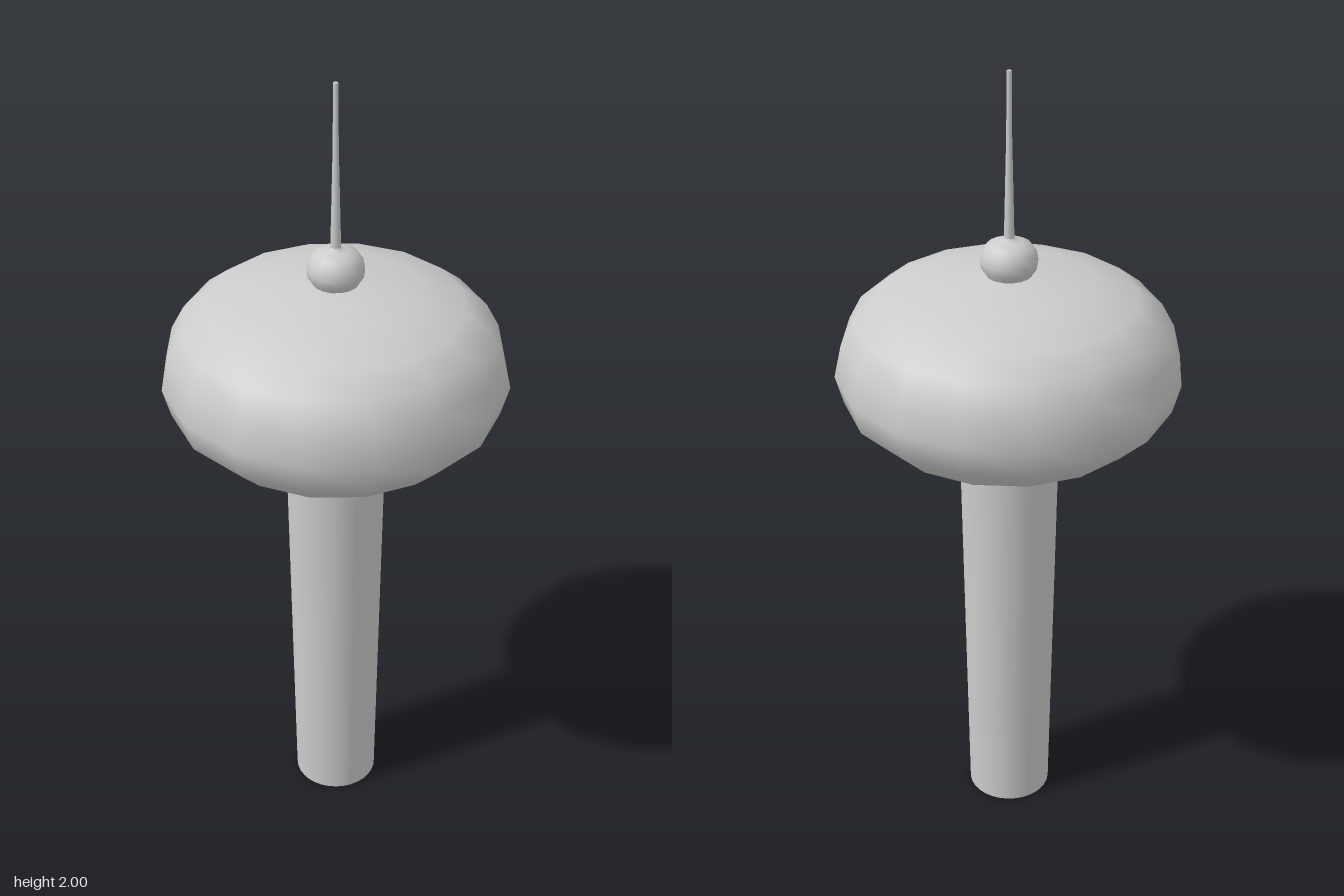
import * as THREE from 'three';

const material = new THREE.MeshStandardMaterial({ color: 0xcccccc, side: THREE.DoubleSide });

// Smooth round part turned from [radius, height] pairs, listed bottom to top
function turned(name, profile, sides = 16) {
  const points = profile.map(([r, y]) => new THREE.Vector2(r, y));
  // start on +z so corners fall on the axes
  const mesh = new THREE.Mesh(new THREE.LatheGeometry(points, sides), material);
  mesh.name = name;
  return mesh;
}

export function createModel() {
  const tower = new THREE.Group();
  tower.name = 'tower';

  // Hollow shaft, open at the foot and slightly wider at the top
  tower.add(turned('shaft', [[0.107, 0], [0.123, 1.07]], 32));

  // Flattened round pod
  tower.add(turned('pod', [
    [0, 1.05], [0.12, 1.053], [0.22, 1.075], [0.325, 1.125], [0.4, 1.197],
    [0.42, 1.27], [0.402, 1.35], [0.37, 1.41], [0.31, 1.457], [0.2, 1.493],
    [0.06, 1.512], [0, 1.513],
  ]));

  // Small flattened ball that narrows to the mast foot
  tower.add(turned('cap', [
    [0.052, 1.505], [0.056, 1.515], [0.066, 1.53], [0.069, 1.547],
    [0.065, 1.568], [0.052, 1.587], [0.032, 1.596], [0.016, 1.598], [0.012, 1.605],
  ]));

  // Tapering mast
  tower.add(turned('mast', [[0.013, 1.59], [0.007, 1.85], [0.006, 2]], 8));

  // Mast tip
  const tip = new THREE.Mesh(new THREE.CircleGeometry(0.006, 8), material);
  tip.name = 'mastTip';
  tip.rotation.x = -Math.PI / 2;
  tip.position.y = 2;
  tower.add(tip);

  return tower;
}
